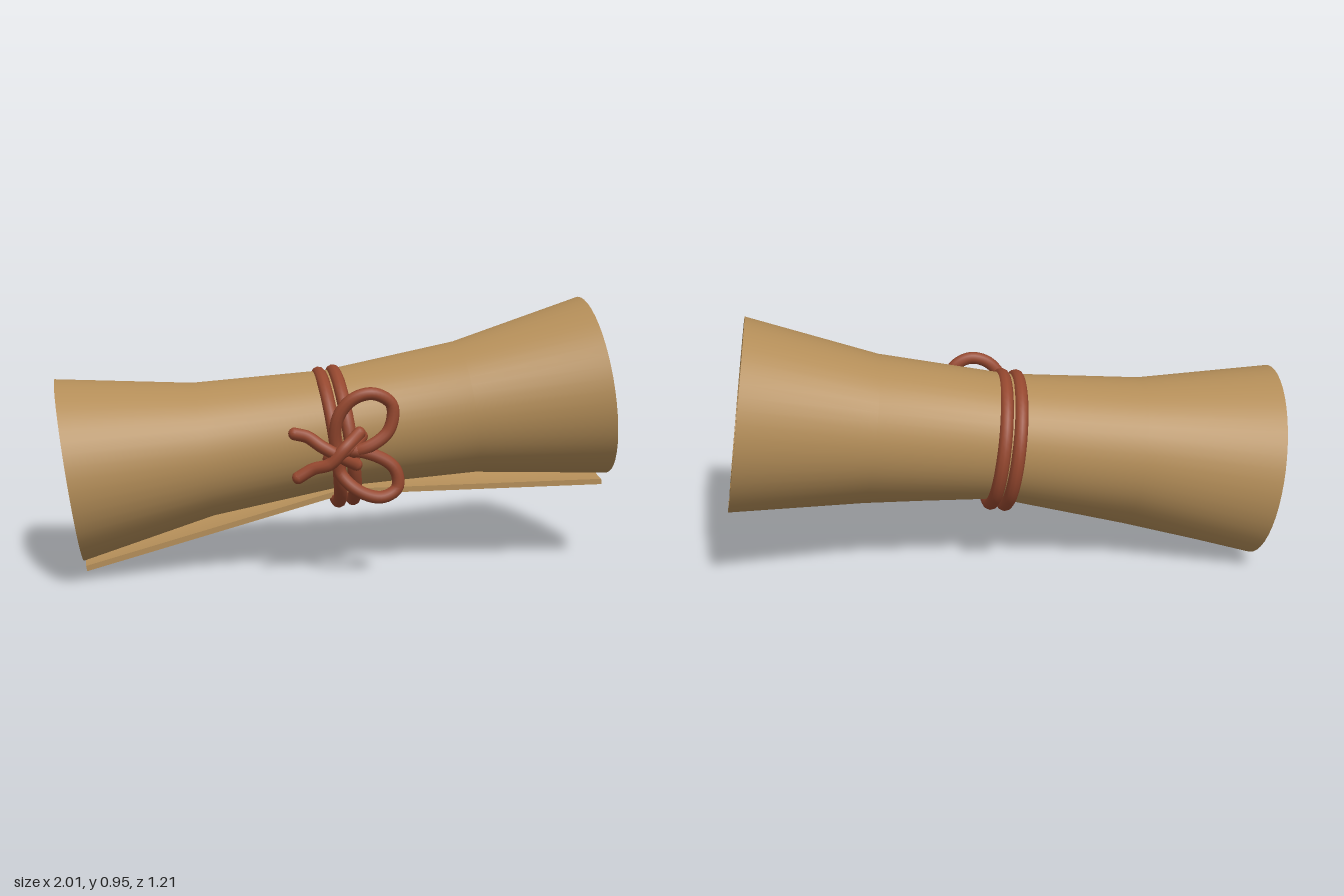
import * as THREE from 'three';
import { mergeGeometries } from 'three/addons/utils/BufferGeometryUtils.js';

const TURNS = 3, HALF = 0.95, THICK = 0.02, ROPE = 0.024;

// Grid surface from a function (i, j) -> [x, y, z], smooth inside itself
function grid(nu, nv, fn, flip = false) {
  const pos = [], idx = [];
  for (let i = 0; i <= nu; i++) for (let j = 0; j <= nv; j++) pos.push(...fn(i / nu, j / nv));
  for (let i = 0; i < nu; i++) for (let j = 0; j < nv; j++) {
    const a = i * (nv + 1) + j, b = a + 1, c = a + nv + 1, d = c + 1;
    if (flip) idx.push(a, c, b, b, c, d);
    else idx.push(a, b, c, b, d, c);
  }
  const g = new THREE.BufferGeometry();
  g.setAttribute('position', new THREE.Float32BufferAttribute(pos, 3));
  g.setIndex(idx);
  g.computeVertexNormals();
  return g;
}

// Point on the rolled sheet: t along the spiral, v along the axis, depth below the outer face
function sheetPoint(t, v, depth) {
  const u = Math.abs(v * 2 - 1);
  const waist = 0.65 + 0.35 * u * u;
  const straight = 0.66 + 0.34 * u;
  // the loose outer edge stays straighter than the waisted roll
  const loose = THREE.MathUtils.smoothstep(t * TURNS, TURNS - 0.16, TURNS);
  const scale = THREE.MathUtils.lerp(waist, straight, loose);
  const r = (0.205 + 0.052 * t * TURNS) * scale - depth;
  const a = t * TURNS * Math.PI * 2;
  return [(v * 2 - 1) * HALF, -Math.cos(a) * r, Math.sin(a) * r];
}

function sheetGeometry() {
  const n = 144, rows = 4;
  return mergeGeometries([
    grid(n, rows, (t, v) => sheetPoint(t, v, 0)),
    grid(n, rows, (t, v) => sheetPoint(t, v, THICK), true),
    // rolled ends
    grid(n, 1, (t, w) => sheetPoint(t, 0, THICK * (1 - w))),
    grid(n, 1, (t, w) => sheetPoint(t, 1, THICK * (1 - w)), true),
    // inner and outer long edges
    grid(rows, 1, (v, w) => sheetPoint(0, v, THICK * (1 - w)), true),
    grid(rows, 1, (v, w) => sheetPoint(1, v, THICK * (1 - w))),
  ]);
}

export function createModel() {
  const paper = new THREE.MeshStandardMaterial({ color: 0xb38d58, side: THREE.DoubleSide });
  paper.name = 'parchment tan';
  const cord = new THREE.MeshStandardMaterial({ color: 0x96482f });
  cord.name = 'cord red brown';

  const model = new THREE.Group();
  model.name = 'tiedScroll';
  const add = (parent, name, geometry, material) => {
    const mesh = new THREE.Mesh(geometry, material);
    mesh.name = name;
    parent.add(mesh);
    return mesh;
  };

  // Tilted frame whose x axis is the roll's axis
  const axis = new THREE.Vector3(1.79, 0.265, -0.572).normalize();
  const up = new THREE.Vector3(0, 1, 0).addScaledVector(axis, -axis.y).normalize();
  const front = new THREE.Vector3().crossVectors(axis, up);
  const roll = new THREE.Group();
  roll.name = 'roll';
  roll.quaternion.setFromRotationMatrix(new THREE.Matrix4().makeBasis(axis, up, front));
  roll.position.set(0, 0.512, 0);
  model.add(roll);

  add(roll, 'rolledSheet', sheetGeometry(), paper);

  // Two turns of cord round the waist
  for (const s of [-1, 1]) {
    const ring = add(roll, 'cordTurn', new THREE.TorusGeometry(0.232, ROPE, 10, 56), cord);
    ring.rotation.y = Math.PI / 2;
    ring.position.set(s * 0.026, -0.022, -0.004);
  }

  // Bow, drawn in x and y; each point's third value lifts it off the bow's slanting plane
  const bow = new THREE.Group();
  bow.name = 'bow';
  model.add(bow);
  const strand = (name, pts, closed) => {
    const v = pts.map(([x, y, lift = 0]) => new THREE.Vector3(x, y, 0.282 - 0.27 * (x - 0.07) + lift));
    const curve = new THREE.CatmullRomCurve3(v, closed);
    add(bow, name, new THREE.TubeGeometry(curve, 48, ROPE * 0.92, 10, closed), cord);
    if (closed) return;
    for (const end of [v[0], v[v.length - 1]])
      add(bow, name + 'End', new THREE.SphereGeometry(ROPE * 0.92, 10, 8), cord).position.copy(end);
  };

  strand('upperLoop', [
    [0.06, 0.49, -0.02], [0.06, 0.60], [0.11, 0.67, 0.01], [0.18, 0.69, 0.01],
    [0.24, 0.65], [0.23, 0.56], [0.15, 0.50, 0.01],
  ], true);
  strand('lowerLoop', [
    [0.07, 0.49, 0.01], [0.17, 0.48], [0.25, 0.43], [0.26, 0.36],
    [0.21, 0.33, 0.01], [0.13, 0.355, 0.01], [0.065, 0.42, -0.01],
  ], true);
  strand('upperTail', [
    [0.12, 0.44, -0.02], [0.07, 0.475, 0.012], [0.01, 0.51, 0.01], [-0.04, 0.54, -0.01], [-0.085, 0.55, -0.02],
  ], false);
  strand('lowerTail', [
    [0.13, 0.55, -0.02], [0.09, 0.505, 0.025], [0.04, 0.45, 0.02], [-0.02, 0.43, 0], [-0.07, 0.40, -0.005],
  ], false);
  // Short wrap that ties the knot down to the cord turns
  strand('knot', [
    [0.02, 0.45, -0.07], [0.035, 0.465, -0.01], [0.08, 0.49, 0.022], [0.12, 0.515, -0.01], [0.13, 0.53, -0.07],
  ], false);

  return model;
}
